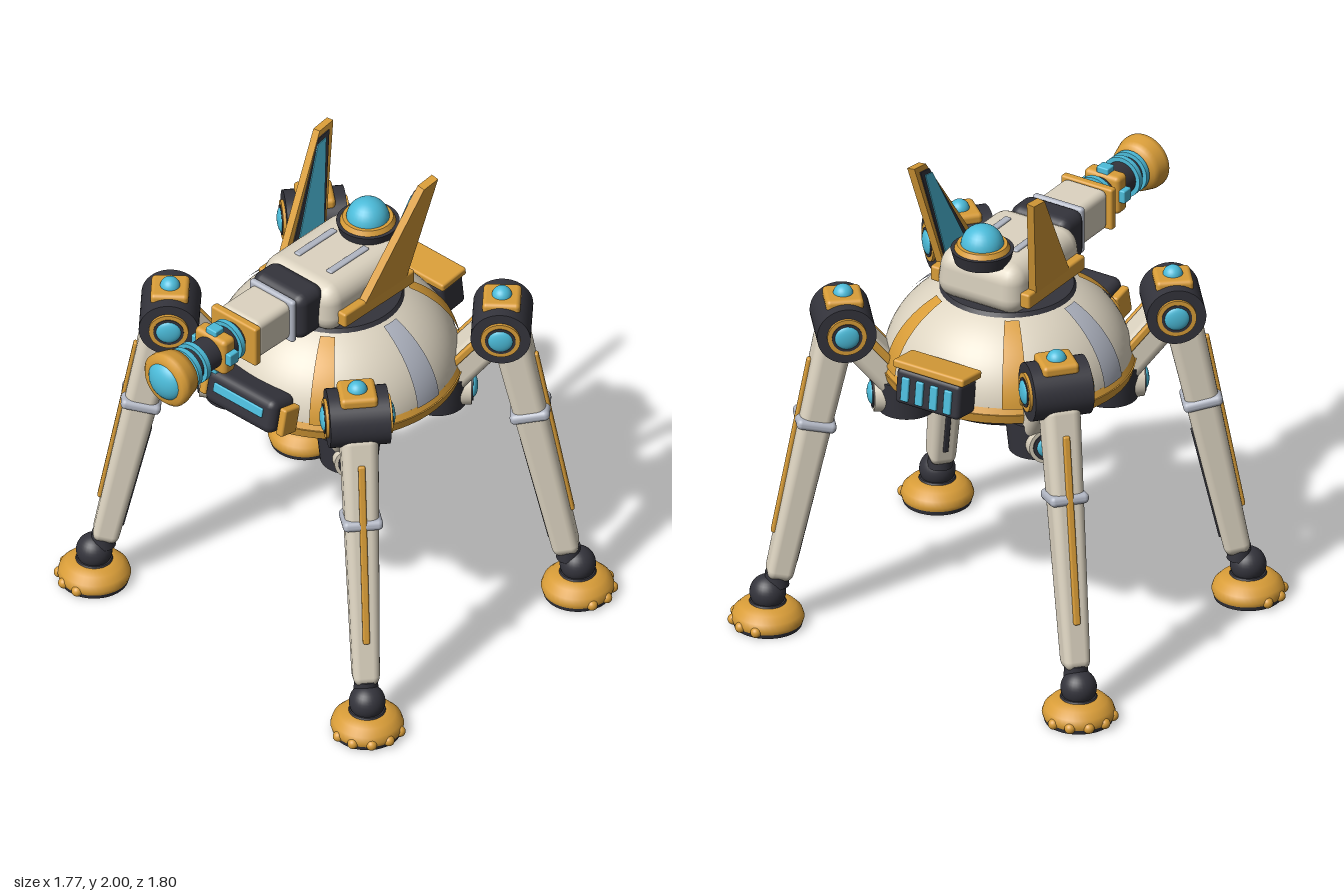
import * as THREE from 'three';
import { RoundedBoxGeometry } from 'three/addons/geometries/RoundedBoxGeometry.js';

const paint = (name, color) => {
  const m = new THREE.MeshStandardMaterial({ color });
  m.name = name;
  return m;
};

export function createModel() {
  const cream = paint('cream', 0xddd4c1);
  const gold = paint('gold', 0xd99d38);
  const dark = paint('charcoal', 0x34343c);
  const cyan = paint('cyan', 0x4cbcda);
  const grey = paint('grey', 0xb2b7c4);

  const group = (parent, name, x = 0, y = 0, z = 0) => {
    const g = new THREE.Group();
    g.name = name;
    g.position.set(x, y, z);
    parent.add(g);
    return g;
  };
  const add = (parent, name, geo, mat, x = 0, y = 0, z = 0) => {
    const m = new THREE.Mesh(geo, mat);
    m.name = name;
    m.position.set(x, y, z);
    parent.add(m);
    return m;
  };
  const box = (w, h, d, r = 0.01) => new RoundedBoxGeometry(w, h, d, 3, r);
  const cyl = (top, bottom, h, seg = 40) => new THREE.CylinderGeometry(top, bottom, h, seg);
  const cylZ = (front, back, h) => cyl(front, back, h).rotateX(Math.PI / 2);
  const cylX = (r, h) => cyl(r, r, h).rotateZ(Math.PI / 2);
  const ball = (r) => new THREE.SphereGeometry(r, 28, 18);
  const lathe = (pts, ...arc) =>
    new THREE.LatheGeometry(pts.map(([x, y]) => new THREE.Vector2(x, y)), ...arc);
  // Scale the cross-section linearly from bottom to top
  const taper = (geo, bottom, top) => {
    geo.computeBoundingBox();
    const { min, max } = geo.boundingBox;
    const p = geo.attributes.position;
    for (let i = 0; i < p.count; i++) {
      const k = THREE.MathUtils.lerp(bottom, top, (p.getY(i) - min.y) / (max.y - min.y));
      p.setX(i, p.getX(i) * k);
      p.setZ(i, p.getZ(i) * k);
    }
    return geo;
  };

  const model = new THREE.Group();
  model.name = 'walkerTurret';
  const body = group(model, 'body', 0, 0, -0.14);

  // Domed hull with painted ribs
  const domePoints = (grow, y0, y1, n = 16) =>
    Array.from({ length: n + 1 }, (_, i) => {
      const y = y0 + ((y1 - y0) * i) / n;
      const r = 0.49 * Math.sqrt(1 - ((y - 1.12) / 0.385) ** 2);
      return [r + grow, y + grow * 0.5];
    });
  add(body, 'hullDome', lathe(domePoints(0, 1.13, 1.45), 64), cream);
  const rib = (name, az, half, mat) =>
    add(body, name, lathe(domePoints(0.008, 1.15, 1.435), 8, az - half, half * 2), mat);
  for (const az of [36, 144, 216, 324]) rib('goldRib', THREE.MathUtils.degToRad(az), 0.1, gold);
  for (const az of [90, 270]) rib('greyRib', THREE.MathUtils.degToRad(az), 0.125, grey);
  add(body, 'rim', cyl(0.505, 0.495, 0.04, 64), gold, 0, 1.11);
  add(body, 'rimLip', cyl(0.488, 0.5, 0.025, 64), gold, 0, 1.142);
  add(body, 'turretRing', cyl(0.26, 0.275, 0.025, 48), dark, 0, 1.445);

  // Underside bowl and glowing port
  add(body, 'bowl', lathe([[0, 0.9], [0.15, 0.9], [0.21, 0.93], [0.36, 1.01], [0.48, 1.09]], 48), dark);
  add(body, 'bellyPort', cyl(0.1, 0.125, 0.02), cyan, 0, 0.893);

  // Front visor, leaning back with the hull
  const visor = group(body, 'visor', 0, 1.2, 0.5);
  visor.rotation.x = -0.22;
  add(visor, 'visorHousing', box(0.36, 0.15, 0.14, 0.035), dark);
  add(visor, 'visorSlit', box(0.26, 0.04, 0.014, 0.005), cyan, 0, 0.01, 0.07);
  for (const s of [-1, 1]) add(visor, 'visorBracket', box(0.035, 0.12, 0.09), gold, s * 0.205, -0.005, 0);

  // Rear vent with hood
  const vent = group(body, 'rearVent', 0, 1.21, -0.52);
  vent.rotation.x = 0.12;
  add(vent, 'ventHousing', box(0.3, 0.15, 0.13, 0.02), dark);
  add(vent, 'ventHood', box(0.33, 0.035, 0.14), gold, 0, 0.09, 0);
  for (let i = 0; i < 4; i++)
    add(vent, 'ventSlot', box(0.035, 0.1, 0.02, 0.005), cyan, -0.099 + i * 0.066, -0.005, -0.066);

  // Turret block
  const turret = group(model, 'turret');
  add(turret, 'turretShell', taper(box(0.41, 0.21, 0.51, 0.075), 1, 0.92), cream, 0, 1.55, -0.135);
  for (const s of [-1, 1]) {
    add(turret, 'roofRail', box(0.03, 0.016, 0.22, 0.006), grey, s * 0.085, 1.655, -0.115);
    add(turret, 'finBase', box(0.045, 0.065, 0.405, 0.01), gold, s * 0.21, 1.522, -0.143);
  }

  // Swept fins with lit inner panels
  const finOutline = [[-0.04, 0], [-0.33, 0.475], [-0.41, 0.485], [-0.29, 0]];
  const finSlab = (k, depth) => {
    const pts = finOutline.map(([z, y]) =>
      new THREE.Vector2(-0.267 + (z + 0.267) * k, 0.24 + (y - 0.24) * (k * 0.5 + 0.5)));
    return new THREE.ExtrudeGeometry(new THREE.Shape(pts), { depth, bevelEnabled: false })
      .translate(0, 0, -depth / 2).rotateY(-Math.PI / 2);
  };
  for (const s of [-1, 1]) {
    const fin = group(turret, 'fin', s * 0.212, 1.52, 0);
    fin.rotation.z = -s * 0.14;
    add(fin, 'finBlade', finSlab(1, 0.034), gold);
    add(fin, 'finFrame', finSlab(0.78, 0.008), dark, -s * 0.018);
    add(fin, 'finPanel', finSlab(0.6, 0.008), cyan, -s * 0.022);
  }

  // Roof sensor
  const sensor = group(turret, 'roofSensor', 0, 0, -0.325);
  add(sensor, 'sensorBase', cyl(0.125, 0.11, 0.055), dark, 0, 1.665);
  add(sensor, 'sensorRing', cyl(0.1, 0.113, 0.025), gold, 0, 1.7);
  add(sensor, 'sensorDome', ball(0.086), cyan, 0, 1.705);

  // Cannon pointing forward
  const cannon = group(model, 'cannon', 0, 1.555, 0);
  add(cannon, 'mantlet', box(0.275, 0.215, 0.15, 0.045), dark, 0, 0, 0.14);
  add(cannon, 'sleeveCollar', box(0.235, 0.2, 0.03, 0.014), grey, 0, 0, 0.225);
  add(cannon, 'sleeve', box(0.205, 0.175, 0.21, 0.03), cream, 0, 0, 0.325);
  add(cannon, 'sleeveEnd', box(0.24, 0.18, 0.036), gold, 0, 0, 0.44);
  add(cannon, 'barrel', cylZ(0.068, 0.068, 0.34), dark, 0, 0, 0.61);
  for (const z of [0.488, 0.687, 0.737]) add(cannon, 'coil', cylZ(0.086, 0.086, 0.022), cyan, 0, 0, z);
  add(cannon, 'coilHousing', box(0.165, 0.165, 0.07, 0.02), gold, 0, 0, 0.562);
  for (let i = 0; i < 4; i++) {
    const a = (i * Math.PI) / 2;
    const cell = add(cannon, 'coilCell', box(0.03, 0.055, 0.05, 0.006), cyan,
      Math.cos(a) * 0.09, Math.sin(a) * 0.09, 0.562);
    cell.rotation.z = a;
  }
  add(cannon, 'muzzle', lathe([[0.07, 0.755], [0.098, 0.765], [0.105, 0.79], [0.115, 0.825],
    [0.115, 0.845], [0.1, 0.86], [0.075, 0.86]], 40).rotateX(Math.PI / 2), gold);
  add(cannon, 'muzzleLens', ball(0.086).scale(1, 1, 0.6), cyan, 0, 0, 0.84);

  // Four identical legs, each facing outwards along its own +z
  const buildLeg = (angle) => {
    const leg = group(body, 'leg');
    leg.rotation.y = angle;

    // Hip pod and actuator
    add(leg, 'hipPod', cyl(0.13, 0.115, 0.15), dark, 0, 1.005, 0.4);
    add(leg, 'hipActuator', cylZ(0.075, 0.085, 0.12), cream, 0, 1.0, 0.475);
    add(leg, 'hipBezel', cylZ(0.06, 0.06, 0.012), dark, 0, 1.0, 0.535);
    add(leg, 'hipLight', ball(0.046).scale(1, 1, 0.4), cyan, 0, 1.0, 0.54);

    // Thigh rising to the knee
    const thigh = group(leg, 'thigh', 0, 1.18, 0.54);
    thigh.rotation.x = 0.7;
    add(thigh, 'thighBeam', box(0.17, 0.36, 0.14, 0.04), cream);
    for (const s of [-1, 1]) add(thigh, 'thighStrip', box(0.025, 0.2, 0.03, 0.008), gold, s * 0.085, 0, -0.05);

    // Knee drum
    const knee = group(leg, 'knee', 0, 1.32, 0.652);
    add(knee, 'kneeDrum', cylX(0.118, 0.24), dark);
    for (const s of [-1, 1]) {
      add(knee, 'kneeRing', cylX(0.078, 0.02), gold, s * 0.122);
      add(knee, 'kneeBezel', cylX(0.06, 0.01), dark, s * 0.13);
      add(knee, 'kneeLight', ball(0.05).scale(0.35, 1, 1), cyan, s * 0.132);
    }
    add(knee, 'kneeCap', box(0.15, 0.05, 0.15, 0.018), gold, 0, 0.108, 0);
    add(knee, 'kneeLamp', ball(0.04), cyan, 0, 0.128, 0);

    // Tapered shin
    const shin = group(leg, 'shin', 0, 0.74, 0.797);
    shin.rotation.x = -0.206;
    add(shin, 'shinBeam', taper(box(0.15, 1.1, 0.15, 0.04), 0.7, 1), cream);
    add(shin, 'shinBand', box(0.16, 0.045, 0.16, 0.02), grey, 0, 0.16, 0);
    const stripe = add(shin, 'shinStripe', box(0.028, 0.78, 0.025, 0.008), gold, 0, 0.035, 0.066);
    stripe.rotation.x = 0.02;
    const groove = add(shin, 'shinGroove', box(0.022, 0.5, 0.016, 0.005), dark, 0, -0.22, -0.058);
    groove.rotation.x = -0.02;

    // Ball ankle and round foot
    const foot = group(leg, 'foot', 0, 0, 0.95);
    add(foot, 'ankleSocket', cyl(0.045, 0.05, 0.06), dark, 0, 0.2, -0.035);
    add(foot, 'ankleBall', ball(0.072), dark, 0, 0.14, 0);
    add(foot, 'ankleSeat', cyl(0.07, 0.08, 0.02), dark, 0, 0.097, 0);
    add(foot, 'footPad', lathe([[0.14, 0.018], [0.145, 0.035], [0.137, 0.06], [0.112, 0.085],
      [0.075, 0.1], [0, 0.1]], 40), gold);
    add(foot, 'footSole', cyl(0.14, 0.135, 0.02), dark, 0, 0.01, 0);
    for (let i = -2; i <= 2; i++) {
      const a = i * 0.55;
      add(foot, 'toeStud', ball(0.022), gold, Math.sin(a) * 0.137, 0.026, Math.cos(a) * 0.137);
    }
  };
  for (const deg of [50, 130, 230, 310]) buildLeg(THREE.MathUtils.degToRad(deg));

  return model;
}
